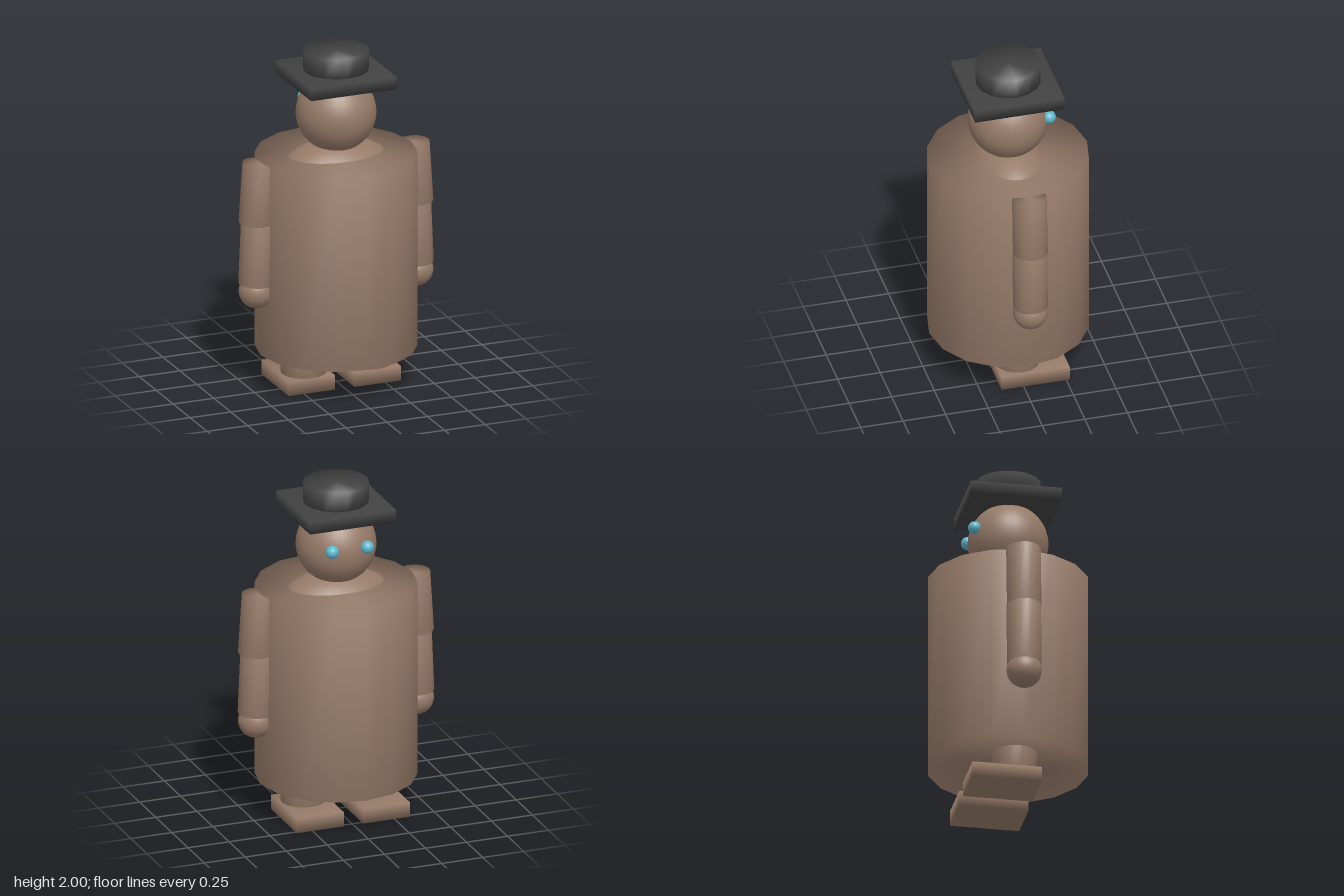
import * as THREE from 'three';
import { mergeVertices } from 'three/addons/utils/BufferGeometryUtils.js';

const brown = new THREE.MeshStandardMaterial({ name: 'brown', color: 0x967a68 });
const charcoal = new THREE.MeshStandardMaterial({ name: 'charcoal', color: 0x424242 });
const blue = new THREE.MeshStandardMaterial({ name: 'blue', color: 0x5cb8cc });

// Weld corners so shading rolls softly over every edge
function soften(geometry) {
  geometry.deleteAttribute('normal');
  geometry.deleteAttribute('uv');
  const welded = mergeVertices(geometry, 1e-4);
  welded.computeVertexNormals();
  return welded;
}

function add(parent, name, geometry, material, x, y, z) {
  const mesh = new THREE.Mesh(geometry, material);
  mesh.name = name;
  mesh.position.set(x, y, z);
  parent.add(mesh);
  return mesh;
}

const cylinder = (r, h) => soften(new THREE.CylinderGeometry(r, r, h, 16));
const box = (w, h, d) => soften(new THREE.BoxGeometry(w, h, d));
const ball = (r) => new THREE.SphereGeometry(r, 32, 20);

// Cylinder between two points in the x-y plane
function limb(parent, name, r, x0, y0, x1, y1) {
  const dx = x0 - x1, dy = y0 - y1;
  const mesh = add(parent, name, cylinder(r, Math.hypot(dx, dy)), brown, (x0 + x1) / 2, (y0 + y1) / 2, 0);
  mesh.rotation.z = -Math.atan2(dx, dy);
}

export function createModel() {
  const model = new THREE.Group();
  model.name = 'hattedFigure';

  // Body, shoulders and head
  add(model, 'torso', cylinder(0.463, 1.16), brown, 0, 0.8, 0);
  add(model, 'shoulders', ball(1).scale(0.376, 0.244, 0.244), brown, 0, 1.22, 0);
  add(model, 'head', ball(0.23), brown, 0, 1.625, 0);

  // Hat: square brim and round crown
  const hat = new THREE.Group();
  hat.name = 'hat';
  add(hat, 'brim', box(0.524, 0.075, 0.524), charcoal, 0, 1.845, 0);
  add(hat, 'crown', cylinder(0.187, 0.13), charcoal, 0, 1.935, 0);
  model.add(hat);

  // Paired parts; the face and toes point to -z
  for (const [side, s] of [['left', 1], ['right', -1]]) {
    add(model, side + 'Eye', ball(0.038), blue, s * 0.107, 1.66, -0.213);

    const arm = new THREE.Group();
    arm.name = side + 'Arm';
    limb(arm, 'upperArm', 0.1, s * 0.467, 1.379, s * 0.49, 1.022);
    limb(arm, 'forearm', 0.1, s * 0.476, 1.024, s * 0.492, 0.657);
    add(arm, 'hand', ball(0.1), brown, s * 0.49, 0.612, 0);
    model.add(arm);

    const leg = new THREE.Group();
    leg.name = side + 'Leg';
    add(leg, 'shin', cylinder(0.13, 0.3), brown, s * 0.2, 0.22, 0);
    add(leg, 'foot', box(0.286, 0.087, 0.4), brown, s * 0.202, 0.0435, -0.07);
    model.add(leg);
  }
  return model;
}
